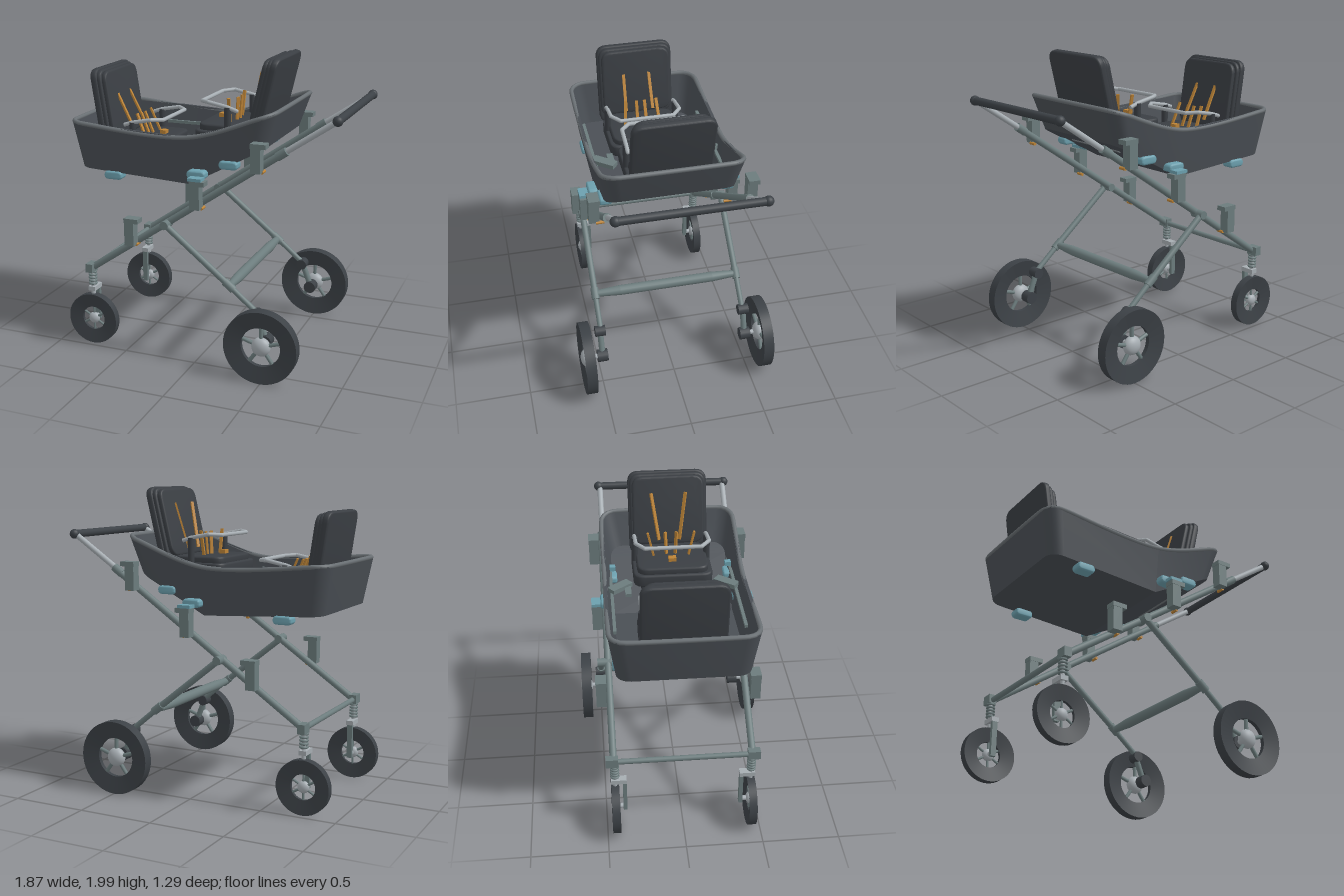
import * as THREE from 'three';
import { toCreasedNormals } from 'three/addons/utils/BufferGeometryUtils.js';

const mat = (name, color) => {
  const m = new THREE.MeshStandardMaterial({ color });
  m.name = name;
  return m;
};
const V = (x, y, z) => new THREE.Vector3(x, y, z);

export function createModel() {
  const model = new THREE.Group();
  const shell = mat('shell grey', 0x4a4f55), fabric = mat('seat fabric', 0x3a3e43);
  const rubber = mat('tyre rubber', 0x3c4146), frame = mat('frame grey green', 0x6c7c7d);
  const metal = mat('light metal', 0xa6adb2), teal = mat('clip blue', 0x6ca0ae);
  const strap = mat('strap orange', 0xbd8437), trim = mat('rim grey', 0x6a7074);

  const add = (parent, name, geo, m, x = 0, y = 0, z = 0) => {
    const mesh = new THREE.Mesh(geo, m);
    mesh.name = name;
    mesh.position.set(x, y, z);
    parent.add(mesh);
    return mesh;
  };
  const box = (p, name, m, w, h, d, x, y, z) => add(p, name, new THREE.BoxGeometry(w, h, d), m, x, y, z);
  // round bar between two points
  const bar = (p, name, m, a, b, r, r2 = r, sides = 16) => {
    const dir = b.clone().sub(a), mid = a.clone().add(b).multiplyScalar(0.5);
    const mesh = add(p, name, new THREE.CylinderGeometry(r2, r, dir.length(), sides), m, mid.x, mid.y, mid.z);
    mesh.quaternion.setFromUnitVectors(V(0, 1, 0), dir.normalize());
    return mesh;
  };
  // flat webbing through a list of points
  const webbing = (p, name, pts) => {
    for (let i = 0; i < pts.length - 1; i++) {
      const d = pts[i].distanceTo(pts[i + 1]);
      const m = box(p, name, strap, 0.02, 0.012, d + 0.008, 0, 0, 0);
      m.position.copy(pts[i]).lerp(pts[i + 1], 0.5);
      m.lookAt(pts[i + 1]);
    }
  };
  // padded slab with rounded corners, thickness along z from 0
  const pad = (w, h, t, r) => {
    const b = 0.012, x = w / 2 - b, y = h / 2 - b, s = new THREE.Shape();
    s.moveTo(-x + r, -y);
    s.lineTo(x - r, -y); s.quadraticCurveTo(x, -y, x, -y + r);
    s.lineTo(x, y - r); s.quadraticCurveTo(x, y, x - r, y);
    s.lineTo(-x + r, y); s.quadraticCurveTo(-x, y, -x, y - r);
    s.lineTo(-x, -y + r); s.quadraticCurveTo(-x, -y, -x + r, -y);
    const g = new THREE.ExtrudeGeometry(s, { depth: t - 2 * b, bevelThickness: b, bevelSize: b, bevelSegments: 3, curveSegments: 6 });
    return toCreasedNormals(g.translate(0, 0, b), 0.6);
  };

  // tub: rounded rectangular rings bent at a kink in its length
  const kink = -0.06;
  const low = x => 1.195 + (x < kink ? (kink - x) * 0.05 : (x - kink) * 0.54);
  const high = x => 1.505 + (x < kink ? (kink - x) * 0.04 : (x - kink) * 0.325);
  const ring = (x0, x1, hz, r, yOf, lift = 0) => {
    const half = [], n = 6;
    for (let i = 0; i <= n; i++) {
      const a = i / n * Math.PI / 2;
      half.push([x1 - r + r * Math.cos(a), hz - r + r * Math.sin(a)]);
    }
    half.push([kink, hz]);
    for (let i = 0; i <= n; i++) {
      const a = (1 + i / n) * Math.PI / 2;
      half.push([x0 + r + r * Math.cos(a), hz - r + r * Math.sin(a)]);
    }
    const all = half.concat(half.slice().reverse().map(([x, z]) => [x, -z]));
    return all.map(([x, z]) => V(x, yOf(x) + lift, z));
  };
  const rings = [
    ring(-0.85, 0.43, 0.41, 0.09, low), ring(-0.905, 0.505, 0.452, 0.1, high),
    ring(-0.885, 0.485, 0.432, 0.09, high), ring(-0.825, 0.405, 0.388, 0.08, low, 0.02),
  ];
  const N = rings[0].length, idx = [];
  for (let k = 0; k < 3; k++) for (let i = 0; i < N; i++) {
    const j = (i + 1) % N, a = k * N + i, b = k * N + j;
    idx.push(a, a + N, b + N, a, b + N, b);
  }
  for (let i = 0; i < N / 2 - 1; i++) {
    const q = N - 1 - i, o = 3 * N;
    idx.push(i, i + 1, q - 1, i, q - 1, q);
    idx.push(o + i, o + q - 1, o + i + 1, o + i, o + q, o + q - 1);
  }
  const tub = new THREE.BufferGeometry().setFromPoints(rings.flat());
  tub.setIndex(idx);
  add(model, 'tub', toCreasedNormals(tub.toNonIndexed(), 0.4), shell);
  const rimCurve = new THREE.CatmullRomCurve3(ring(-0.895, 0.495, 0.443, 0.1, high), true);
  add(model, 'tubRim', new THREE.TubeGeometry(rimCurve, 120, 0.015, 8, true), trim);
  box(model, 'undersideSlot', trim, 0.025, 0.008, 0.47, 0.285, low(0.285) - 0.003, 0).rotation.z = Math.atan(0.54);

  // seat facing +x, origin where cushion top meets backrest
  const seat = (name, x, y, turn, tilt, backDrop, frontDrop) => {
    const g = new THREE.Group();
    g.name = name;
    g.position.set(x, y, 0);
    g.rotation.y = turn;
    model.add(g);
    const cushion = (w, d, t, top) =>
      add(g, 'cushion', pad(w, d, t, 0.06).rotateX(-Math.PI / 2), fabric, 0.17, top - t, 0);
    cushion(0.35, 0.46, 0.05, 0);
    cushion(0.39, 0.51, 0.08, -0.04);
    const side = new THREE.Shape([[0.03, backDrop], [0.32, frontDrop], [0.32, -0.1], [0.03, -0.1]].map(p => new THREE.Vector2(...p)));
    add(g, 'seatBase', new THREE.ExtrudeGeometry(side, { depth: 0.4, bevelEnabled: false }), fabric, 0, 0, -0.2);

    const back = new THREE.Group();
    back.name = 'backrest';
    back.rotation.z = tilt;
    g.add(back);
    [[0.47, 0.45, 0.035, 0], [0.5, 0.49, 0.035, -0.03], [0.52, 0.56, 0.045, -0.055]].forEach(([w, h, t, fx], i) =>
      add(back, 'backPad', pad(w, h, t, 0.06).rotateY(Math.PI / 2), fabric, fx - t, [0.447, 0.46, 0.473][i] - h / 2, 0));

    // harness
    box(g, 'buckle', strap, 0.04, 0.025, 0.05, 0.25, 0.02, 0);
    const sn = Math.sin(tilt), cs = Math.cos(tilt);
    for (const s of [1, -1]) {
      webbing(g, 'hipStrap', [V(0.25, 0.015, 0), V(0.07, 0.01, s * 0.235)]);
      webbing(g, 'shoulderStrap', [V(0.25, 0.02, 0), V(0.03, 0.045, s * 0.06),
        V(0.012 - 0.34 * sn, 0.34 * cs, s * 0.12)]);
      bar(g, 'bumperPost', fabric, V(0.13, -0.08, s * 0.235), V(0.13, 0.12, s * 0.235), 0.022);
    }
    // bumper bar
    const pts = [V(0.07, 0.1, 0.235), V(0.13, 0.12, 0.235), V(0.26, 0.145, 0.235), V(0.325, 0.14, 0.18)];
    const path = pts.concat(pts.slice().reverse().map(p => V(p.x, p.y, -p.z)));
    for (let i = 0; i < path.length - 1; i++) {
      bar(g, 'bumperBar', metal, path[i], path[i + 1], 0.013);
      add(g, 'bumperJoint', new THREE.SphereGeometry(0.013, 10, 8), metal, ...path[i + 1].toArray());
    }
  };
  seat('frontSeat', -0.67, 1.4, 0, 0.15, -0.145, -0.17);
  seat('rearSeat', 0.26, 1.55, Math.PI, 0.235, -0.165, -0.315);

  // wheel with dished tyre, spokes and hub
  const wheel = (name, x, y, z, R, hole, w, spokes) => {
    const g = new THREE.Group();
    g.name = name;
    g.position.set(x, y, z);
    model.add(g);
    const prof = [[hole, -w * 0.2], [R, -w / 2], [R, w / 2], [hole, w * 0.2], [hole, -w * 0.2]];
    const geo = new THREE.LatheGeometry(prof.map(p => new THREE.Vector2(...p)), 48).rotateX(Math.PI / 2);
    add(g, 'tyre', toCreasedNormals(geo, 0.5), rubber);
    add(g, 'hub', new THREE.SphereGeometry(hole * 0.48, 24, 14).scale(1, 1, 0.7), metal);
    for (let i = 0; i < spokes; i++) {
      const a = Math.PI / 2 + i / spokes * Math.PI * 2;
      bar(g, 'spoke', frame, V(0, 0, 0), V(Math.cos(a) * hole * 1.04, Math.sin(a) * hole * 1.04, 0), hole * 0.1, hole * 0.1, 8);
    }
  };

  // main tube height for a given x
  const tubeY = x => 0.55 + (x + 0.762) * 0.685;
  for (const s of [1, -1]) {
    const P = (x, y, z) => V(x, y, z * s);
    const z = 0.445 * s;
    // long diagonal tube and handle arm
    bar(model, 'mainTube', frame, P(-0.762, 0.55, 0.445), P(0.57, tubeY(0.57), 0.445), 0.023);
    bar(model, 'handleArm', metal, P(0.57, tubeY(0.57), 0.435), P(0.9, 1.685, 0.435), 0.019);
    bar(model, 'tubeCollar', frame, P(0.53, tubeY(0.53), 0.44), P(0.59, tubeY(0.59), 0.44), 0.028);
    add(model, 'handleEnd', new THREE.SphereGeometry(0.032, 16, 12), rubber, 0.9, 1.685, z);

    // rear leg
    bar(model, 'legPivot', frame, P(-0.2, 0.93, 0.42), P(-0.2, 0.93, 0.515), 0.028);
    bar(model, 'rearLeg', frame, P(-0.2, 0.93, 0.49), P(0.25, 0.57, 0.49), 0.021);
    bar(model, 'legCollar', frame, P(0.21, 0.602, 0.49), P(0.27, 0.554, 0.49), 0.027);
    bar(model, 'lowerLeg', frame, P(0.25, 0.57, 0.49), P(0.43, 0.42, 0.49), 0.018);
    bar(model, 'suspensionPivot', rubber, P(0.43, 0.41, 0.46), P(0.43, 0.41, 0.53), 0.036);
    bar(model, 'axleArm', frame, P(0.43, 0.41, 0.495), P(0.495, 0.245, 0.495), 0.02);
    bar(model, 'axleHousing', rubber, P(0.495, 0.245, 0.46), P(0.495, 0.245, 0.53), 0.042);
    bar(model, 'rearAxle', metal, P(0.495, 0.245, 0.5), P(0.495, 0.245, 0.6), 0.016);
    wheel('rearWheel', 0.495, 0.245, 0.6 * s, 0.242, 0.13, 0.07, 5);

    // sprung front fork
    box(model, 'forkCap', frame, 0.05, 0.06, 0.08, -0.765, 0.555, 0.455 * s);
    bar(model, 'forkStem', metal, P(-0.765, 0.36, 0.44), P(-0.765, 0.55, 0.44), 0.014);
    for (let i = 0; i < 5; i++)
      add(model, 'springCoil', new THREE.TorusGeometry(0.022, 0.008, 8, 20).rotateX(Math.PI / 2), frame, -0.765, 0.435 + i * 0.021, 0.44 * s);
    box(model, 'forkCrown', metal, 0.05, 0.03, 0.1, -0.765, 0.4, 0.415 * s);
    box(model, 'forkArm', frame, 0.035, 0.24, 0.025, -0.765, 0.275, 0.378 * s);
    bar(model, 'frontAxle', metal, P(-0.765, 0.18, 0.37), P(-0.765, 0.18, 0.44), 0.016);
    wheel('frontWheel', -0.765, 0.18, 0.44 * s, 0.176, 0.082, 0.052, 6);

    // mounting brackets on the main tube
    [[-0.44, 0.86], [0.02, 1.155], [0.42, 1.43]].forEach(([x, y], i) => {
      box(model, 'bracket', frame, 0.065, 0.18, 0.065, x, y, 0.5 * s);
      box(model, 'bracketFlange', frame, 0.1, 0.03, 0.07, x + 0.015, y + 0.08, 0.5 * s);
      bar(model, 'bracketPin', strap, P(x + 0.03, y - 0.09, 0.44), P(x + 0.03, y - 0.09, 0.49), 0.01);
      if (i === 1) box(model, 'bracketButton', teal, 0.09, 0.02, 0.07, x, y + 0.105, 0.5 * s);
    });
    // blue clips on the tub edge
    [[-0.6, 1.2, 0.385], [0.005, 1.275, 0.435], [0.205, 1.345, 0.395]].forEach(([x, y, cz]) =>
      add(model, 'clip', pad(0.125, 0.055, 0.08, 0.015).translate(0, 0, -0.04), teal, x, y, cz * s));

    // fittings inside the tub
    box(model, 'innerStrip', frame, 0.87, 0.02, 0.02, -0.135, 1.4, 0.4 * s);
    const flap = box(model, 'innerFlap', frame, 0.16, 0.03, 0.065, -0.065, 1.42, 0.345 * s);
    flap.rotation.y = s * 0.9;
    box(model, 'flapTab', frame, 0.1, 0.02, 0.04, -0.11, 1.41, 0.295 * s);
    box(model, 'innerKnob', teal, 0.04, 0.03, 0.04, 0.17, 1.43, 0.385 * s);
  }

  // cross members and push handle
  bar(model, 'handleGrip', rubber, V(0.9, 1.685, -0.44), V(0.9, 1.685, 0.44), 0.026);
  bar(model, 'frontCrossbar', frame, V(-0.762, 0.55, -0.445), V(-0.762, 0.55, 0.445), 0.018);
  bar(model, 'rearCrossbar', frame, V(0.24, 0.575, -0.32), V(0.24, 0.575, 0.32), 0.034);
  for (const s of [1, -1])
    bar(model, 'rearCrossbarEnd', frame, V(0.24, 0.575, s * 0.32), V(0.24, 0.575, s * 0.49), 0.034, 0.022);
  return model;
}
